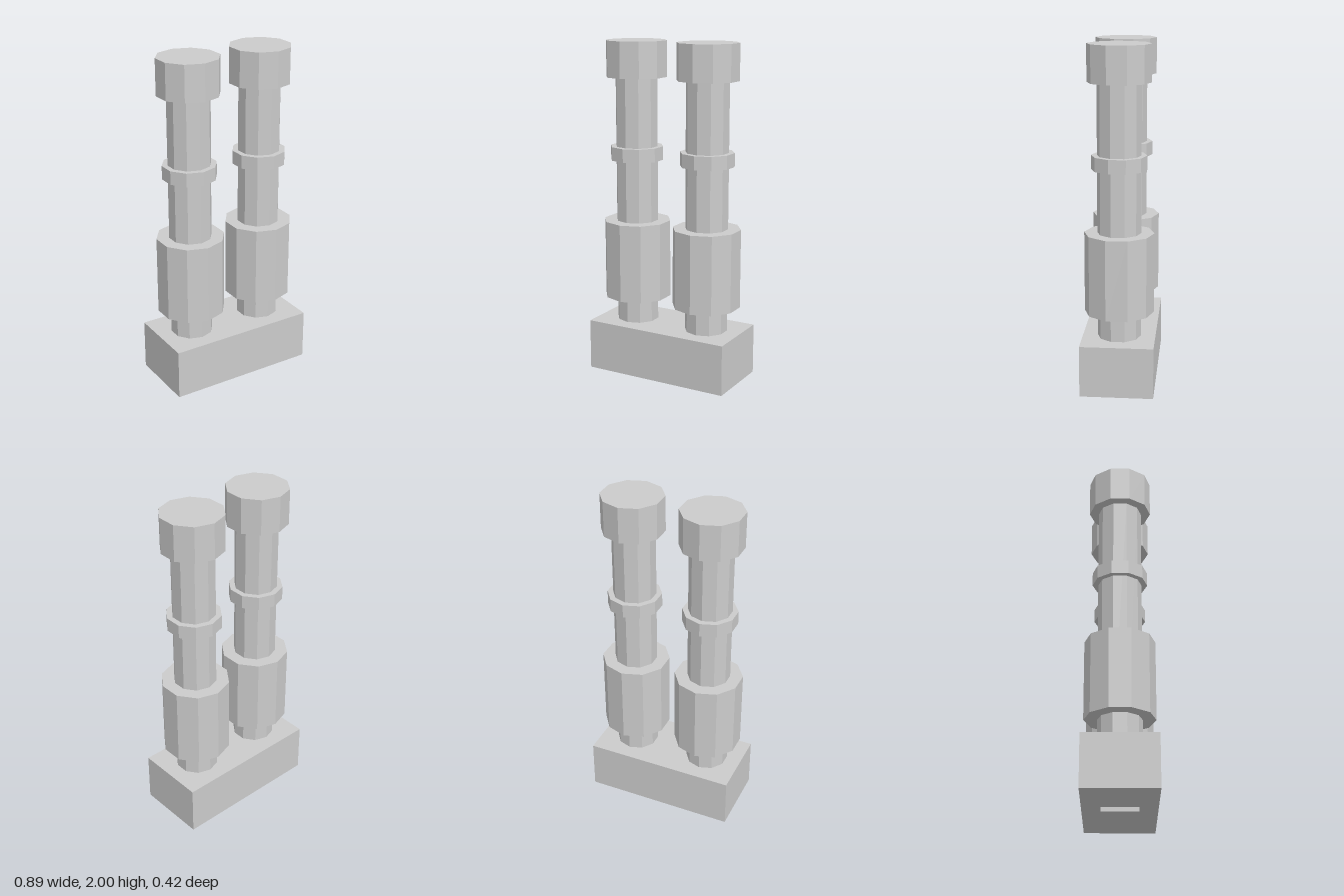
import * as THREE from 'three';

export function createModel() {
  const model = new THREE.Group();
  const material = new THREE.MeshStandardMaterial({ color: 0xcccccc, flatShading: true });

  const add = (parent, name, geometry, y0, y1) => {
    const mesh = new THREE.Mesh(geometry, material);
    mesh.name = name;
    mesh.position.y = (y0 + y1) / 2;
    parent.add(mesh);
  };

  const block = (name, width, depth, y0, y1) =>
    add(model, name, new THREE.BoxGeometry(width, y1 - y0, depth), y0, y1);

  // Ten-sided drum standing between two heights
  const drum = (parent, name, radius, y0, y1) =>
    add(parent, name, new THREE.CylinderGeometry(radius, radius, y1 - y0, 10), y0, y1);

  // Base with the small mounting plate beneath it
  block('mountingPlate', 0.21, 0.21, 0, 0.025);
  block('base', 0.894, 0.42, 0.025, 0.325);

  // Two matching barrels side by side
  for (const [name, side] of [['leftBarrel', 1], ['rightBarrel', -1]]) {
    const barrel = new THREE.Group();
    barrel.name = name;
    barrel.position.x = side * 0.234;
    drum(barrel, 'tube', 0.125, 0.325, 1.79);
    drum(barrel, 'sleeve', 0.2, 0.473, 0.94);
    drum(barrel, 'ring', 0.158, 1.305, 1.385);
    drum(barrel, 'muzzle', 0.18, 1.79, 2);
    model.add(barrel);
  }

  return model;
}
